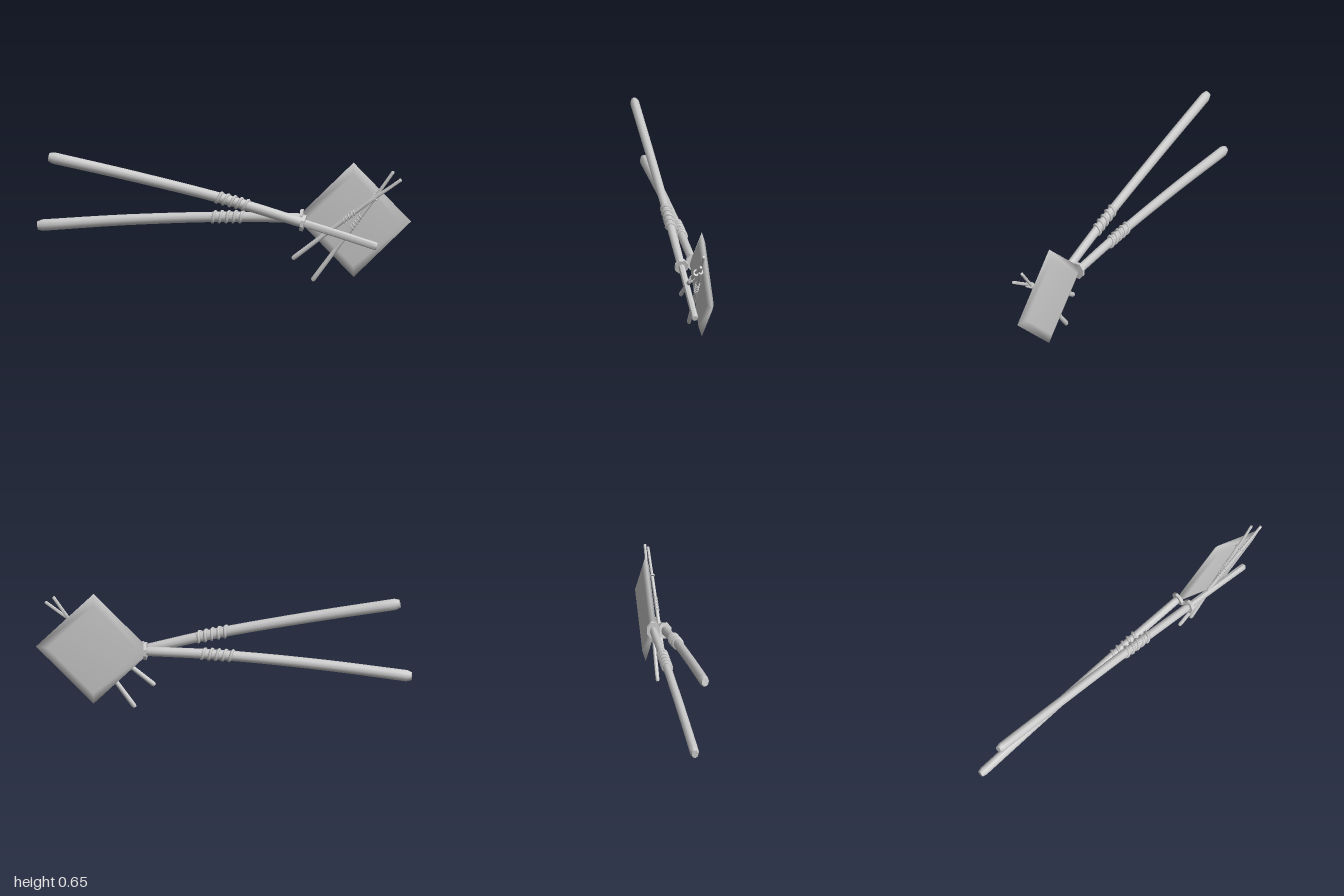
import * as THREE from 'three';
import { mergeVertices, toCreasedNormals } from 'three/addons/utils/BufferGeometryUtils.js';

const material = new THREE.MeshStandardMaterial({ color: 0xcccccc });

function part(name, geometry) {
  const mesh = new THREE.Mesh(geometry, material);
  mesh.name = name;
  return mesh;
}

// Smooth curve through [x, y] points at one depth
function path(points, z) {
  return new THREE.CatmullRomCurve3(points.map(([x, y]) => new THREE.Vector3(x, y, z)));
}

// Position on a path, offset across it and in depth
function offset(curve, t, across, depth) {
  const p = curve.getPointAt(t);
  const d = curve.getTangentAt(t);
  return new THREE.Vector3(p.x + d.y * across, p.y - d.x * across, p.z + depth);
}

// Tapered rod with rounded ends: a unit lathe bent along the path
function rod(curve, r0, r1, flat, sides = 10) {
  const profile = [[0, 0], [0.72, 0], [1, 0.018]];
  for (let i = 1; i < 12; i++) profile.push([1, i / 12]);
  profile.push([1, 0.985], [0.8, 1], [0, 1]);
  let geo = new THREE.LatheGeometry(profile.map(([r, t]) => new THREE.Vector2(r, t)), sides);
  const pos = geo.attributes.position;
  for (let i = 0; i < pos.count; i++) {
    const t = pos.getY(i);
    const r = THREE.MathUtils.lerp(r0, r1, t);
    const p = offset(curve, t, pos.getX(i) * r, pos.getZ(i) * r * flat);
    pos.setXYZ(i, p.x, p.y, p.z);
  }
  geo.deleteAttribute('uv');
  geo.deleteAttribute('normal');
  geo = mergeVertices(geo, 1e-5);
  return toCreasedNormals(geo, 0.75);
}

// Cord wound round the rod between two places on the path
function cord(curve, t0, t1, radius, flat, thickness) {
  const turns = 5, steps = turns * 12, points = [];
  for (let i = 0; i <= steps; i++) {
    const a = (i / steps) * turns * Math.PI * 2;
    const t = THREE.MathUtils.lerp(t0, t1, i / steps);
    points.push(offset(curve, t, Math.cos(a) * radius, Math.sin(a) * radius * flat));
  }
  return new THREE.TubeGeometry(new THREE.CatmullRomCurve3(points), steps * 2, thickness, 6);
}

// Eight-sided flange set square to the end of the path
function collar(curve, radius, depthRadius, length) {
  let geo = new THREE.CylinderGeometry(1, 1, length, 8);
  geo.rotateY(Math.PI / 8);
  geo.scale(radius * 1.08, 1, depthRadius * 1.08);
  geo = toCreasedNormals(geo, 0.5);
  const d = curve.getTangentAt(1);
  geo.rotateZ(Math.atan2(d.y, d.x) - Math.PI / 2);
  const p = curve.getPointAt(1);
  return geo.translate(p.x, p.y, p.z);
}

function tool(name, o) {
  const group = new THREE.Group();
  group.name = name;
  const curve = path(o.handle, o.z);
  const mid = (o.r0 + o.r1) / 2;
  group.add(part('handle', rod(curve, o.r0, o.r1, o.flat)));
  group.add(part('gripCord', cord(curve, o.wrap[0], o.wrap[1], mid * 0.98, o.flat, mid * 0.3)));
  group.add(part('collar', collar(curve, o.collar[0], o.collar[1], o.collar[2])));
  if (o.tip) group.add(part('tip', rod(path(o.tip, o.z), o.tipR[0], o.tipR[1], 0.85, 8)));
  return group;
}

export function createModel() {
  const model = new THREE.Group();
  model.name = 'crossedTools';

  // Long pole with a narrower tip
  model.add(tool('longPole', {
    z: 0.031, handle: [[-0.925, 0.635], [-0.45, 0.54], [0.05, 0.428], [0.43, 0.322]],
    r0: 0.031, r1: 0.027, flat: 0.8, wrap: [0.66, 0.79], collar: [0.042, 0.034, 0.018],
    tip: [[0.42, 0.325], [0.62, 0.268], [0.825, 0.207]], tipR: [0.021, 0.021],
  }));

  // Bowed handle carrying the broad blade
  const bladed = tool('bladedPole', {
    z: -0.033, handle: [[-0.995, 0.255], [-0.5, 0.301], [0.03, 0.332], [0.415, 0.336]],
    r0: 0.031, r1: 0.026, flat: 0.8, wrap: [0.66, 0.79], collar: [0.046, 0.034, 0.016],
  });
  // Square blade standing on its corner, thinned along all four edges
  const section = [[0, -0.018], [0.245, -0.018], [0.306, 0], [0.245, 0.018], [0, 0.018]];
  const blade = new THREE.LatheGeometry(section.map(([r, h]) => new THREE.Vector2(r, h)), 4);
  blade.rotateX(Math.PI / 2).translate(0.69, 0.336, -0.03);
  bladed.add(part('blade', blade));
  model.add(bladed);

  // Two small sticks crossing in front of the blade
  const small = { r0: 0.0135, r1: 0.011, flat: 0.78, wrap: [0.62, 0.78], tipR: [0.009, 0.009] };
  model.add(tool('steepStick', {
    ...small, z: 0, handle: [[0.474, 0.01], [0.65, 0.25], [0.815, 0.473]],
    collar: [0.017, 0.013, 0.008], tip: [[0.81, 0.467], [0.86, 0.537], [0.908, 0.606]],
  }));
  model.add(tool('shallowStick', {
    ...small, z: 0.024, handle: [[0.372, 0.128], [0.6, 0.306], [0.81, 0.466]],
    collar: [0.017, 0.013, 0.008], tip: [[0.8, 0.46], [0.88, 0.515], [0.953, 0.568]],
  }));
  return model;
}
